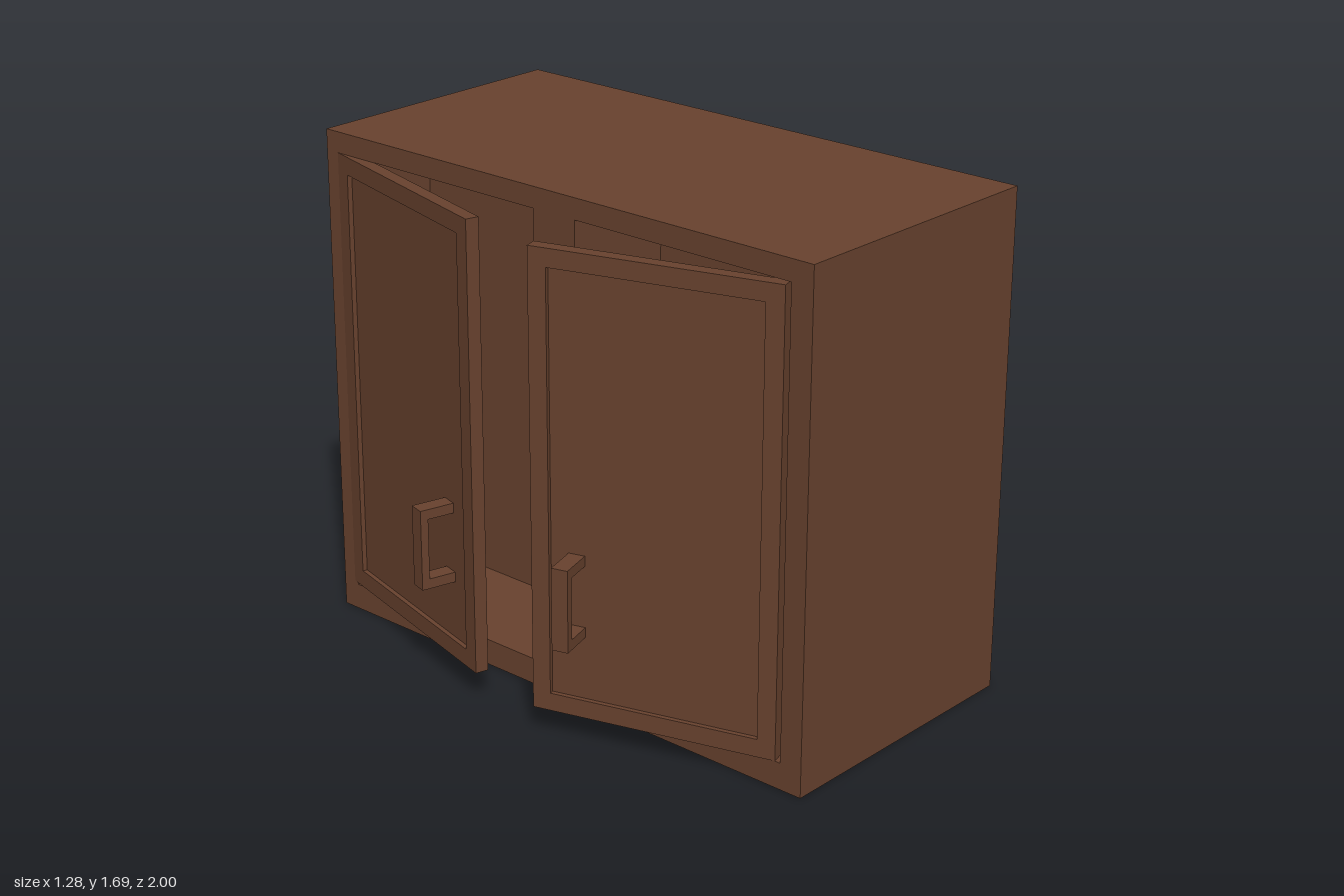
import * as THREE from 'three';

const wood = new THREE.MeshStandardMaterial({ color: 0x68422e });
wood.name = 'brown wood';

function rect(target, x0, x1, y0, y1) {
  target.moveTo(x0, y0);
  target.lineTo(x1, y0);
  target.lineTo(x1, y1);
  target.lineTo(x0, y1);
  target.closePath();
  return target;
}

// Rectangular board with rectangular openings [x0, x1, y0, y1]
function pierced(outer, holes, depth) {
  const shape = rect(new THREE.Shape(), ...outer);
  holes.forEach(h => shape.holes.push(rect(new THREE.Path(), ...h)));
  return new THREE.ExtrudeGeometry(shape, { depth, bevelEnabled: false });
}

function add(parent, name, geometry, x = 0, y = 0, z = 0) {
  const mesh = new THREE.Mesh(geometry, wood);
  mesh.name = name;
  mesh.position.set(x, y, z);
  parent.add(mesh);
  return mesh;
}

const box = (w, h, d) => new THREE.BoxGeometry(w, h, d);

// Door hinged at its outer corner; local +z is the outer face, side is the way to the free edge
function makeDoor(name, side, width, y0, y1, handleInset) {
  const door = new THREE.Group();
  door.name = name;
  const recess = 0.016, thick = 0.045, border = 0.06;
  const a = Math.min(0, side * width), b = Math.max(0, side * width);

  add(door, 'doorFrame', pierced([a, b, y0, y1],
    [[a + border, b - border, y0 + border, y1 - border]], recess), 0, 0, -recess);
  add(door, 'doorPanel', box(width, y1 - y0, thick - recess),
    side * width / 2, (y0 + y1) / 2, -(thick + recess) / 2);

  // Handle: upright grip on two arms
  const handle = new THREE.Group();
  handle.name = 'handle';
  handle.position.x = side * (width - handleInset);
  add(handle, 'grip', box(0.055, 0.275, 0.027), 0, 0.4975, 0.09);
  for (const y of [0.377, 0.618]) add(handle, 'handleArm', box(0.055, 0.034, 0.093), 0, y, 0.03);
  door.add(handle);
  return door;
}

export function createModel() {
  const model = new THREE.Group();
  model.name = 'cabinet';
  const height = 1.69, faceX = -0.34, backX = 0.64, innerX = 0.05;

  // Carcass: solid rear block and a two-bay front with a central divider
  add(model, 'carcassBack', box(backX - innerX, height, 2), (backX + innerX) / 2, height / 2, 0);
  const bays = pierced([-1, 1, 0, height],
    [[-0.92, -0.09, 0.09, 1.62], [0.08, 0.935, 0.09, 1.62]], innerX - faceX);
  bays.rotateY(Math.PI / 2);
  add(model, 'carcassBays', bays, faceX);

  // Doors standing ajar
  const rear = makeDoor('rearDoor', 1, 0.82, 0.1, 1.62, 0.175);
  rear.position.set(faceX, 0, -0.95);
  rear.rotation.y = -Math.PI / 2 - 0.26;
  const front = makeDoor('frontDoor', -1, 0.815, 0.09, 1.607, 0.147);
  front.position.set(faceX, 0, 0.9);
  front.rotation.y = -Math.PI / 2 + 0.293;
  model.add(rear, front);
  return model;
}
